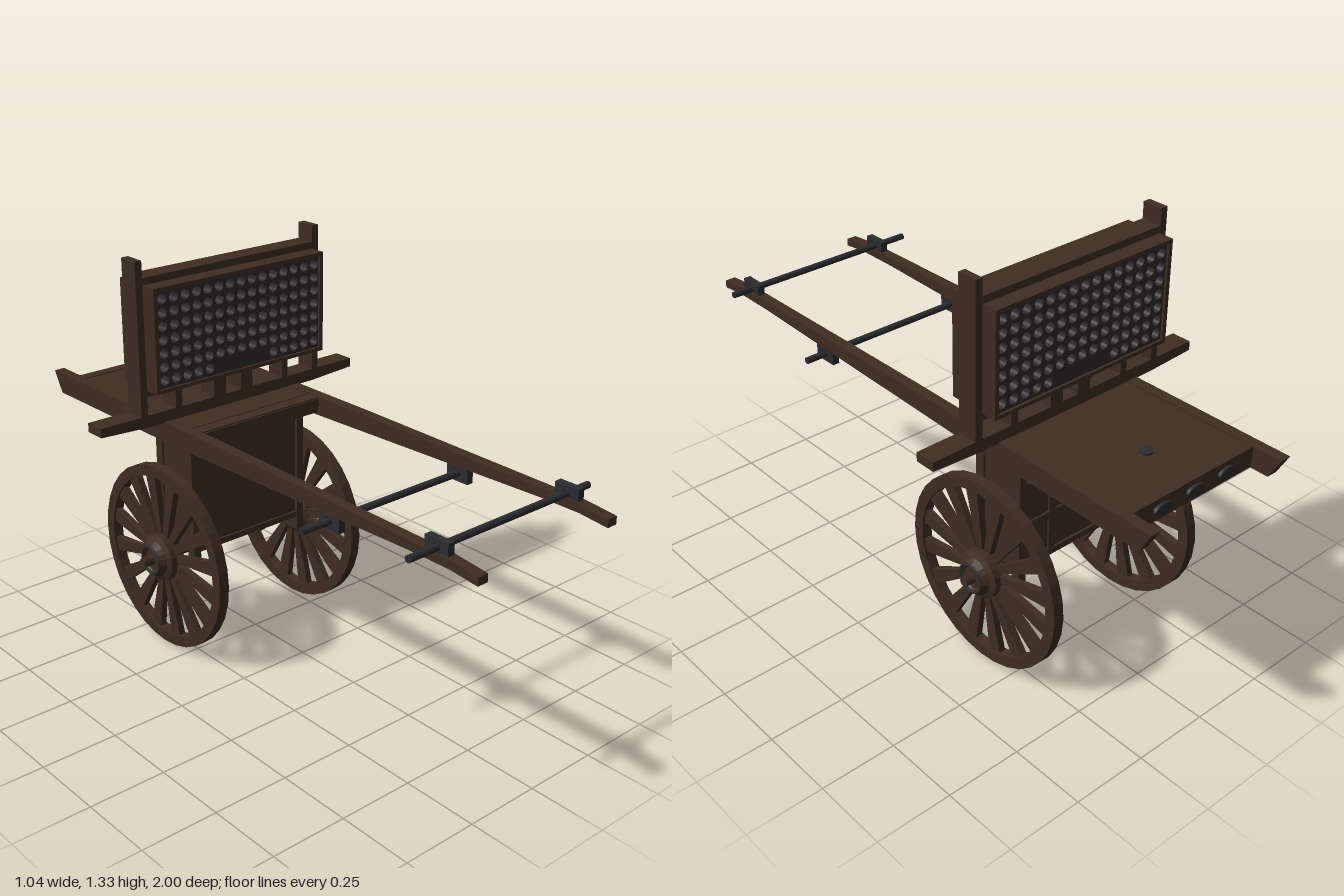
import * as THREE from 'three';

const material = (name, color) => {
  const m = new THREE.MeshStandardMaterial({ color });
  m.name = name;
  return m;
};

export function createModel() {
  const wood = material('dark wood', 0x3f2d22);
  const bore = material('blackened tube block', 0x302a2e);
  const iron = material('iron', 0x2b2c2f);
  const root = new THREE.Group();
  root.name = 'launcherCart';

  const add = (name, geo, mat = wood, parent = root) => {
    const mesh = new THREE.Mesh(geo, mat);
    mesh.name = name;
    parent.add(mesh);
    return mesh;
  };
  // Box given by its limits on each axis
  const box = (name, x0, x1, y0, y1, z0, z1, mat = wood, parent = root) => {
    const m = add(name, new THREE.BoxGeometry(x1 - x0, y1 - y0, z1 - z0), mat, parent);
    m.position.set((x0 + x1) / 2, (y0 + y1) / 2, (z0 + z1) / 2);
    return m;
  };
  const poly = pts => new THREE.Shape(pts.map(p => new THREE.Vector2(...p)));
  const rect = (w, h, Type = THREE.Shape) => {
    const s = new Type();
    s.moveTo(-w / 2, -h / 2).lineTo(w / 2, -h / 2).lineTo(w / 2, h / 2).lineTo(-w / 2, h / 2).closePath();
    return s;
  };
  // Extrusion centred on its own depth
  const slab = (shape, depth, curveSegments = 6) =>
    new THREE.ExtrudeGeometry(shape, { depth, bevelEnabled: false, curveSegments }).translate(0, 0, -depth / 2);
  const rod = (name, r, x0, x1, y, z, mat, parent = root, sides = 12) => {
    const m = add(name, new THREE.CylinderGeometry(r, r, x1 - x0, sides).rotateZ(Math.PI / 2), mat, parent);
    m.position.set((x0 + x1) / 2, y, z);
    return m;
  };
  const AXLE_Y = 0.317, AXLE_Z = -0.368;

  // Long tapered shafts, profile in z and y
  const shaftShape = poly([[1, 0.747], [0.9, 0.757], [0.75, 0.757], [-0.3, 0.727],
    [-0.96, 0.725], [-1, 0.797], [0, 0.795], [0.88, 0.785], [1, 0.773]]);
  for (const s of [-1, 1]) {
    const shaft = add(s > 0 ? 'leftShaft' : 'rightShaft', slab(shaftShape, 0.037).rotateY(-Math.PI / 2));
    shaft.position.x = s * 0.2615;
  }

  // Pull bars and their brackets
  for (const [y, z] of [[0.797, 0.845], [0.722, 0.428]]) {
    rod('pullBar', 0.011, -0.377, 0.345, y, z, iron);
    for (const s of [-1, 1]) {
      const shape = rect(0.085, 0.05);
      shape.holes.push(new THREE.Path().absarc(0, 0, 0.014, 0, Math.PI * 2, true));
      const b = add('barBracket', slab(shape, 0.024).rotateY(Math.PI / 2), iron);
      b.position.set(s * 0.2615, y, z);
    }
  }

  // Rear deck with raised panel, peg and end fittings
  box('deck', -0.245, 0.245, 0.765, 0.788, -0.87, -0.2);
  box('deckPanel', -0.24, 0.24, 0.785, 0.794, -0.86, -0.25);
  box('deckEndBeam', -0.245, 0.245, 0.728, 0.796, -0.9, -0.862);
  box('deckFrontBeam', -0.245, 0.245, 0.74, 0.792, -0.25, -0.205);
  const peg = add('deckPeg', new THREE.CylinderGeometry(0.021, 0.021, 0.012, 12), iron);
  peg.position.set(0, 0.794, -0.72);
  for (const x of [-0.13, 0, 0.13]) {
    const f = add('endFitting', new THREE.CylinderGeometry(0.018, 0.018, 0.012, 12).rotateX(Math.PI / 2), iron);
    f.scale.x = 1.9;
    f.position.set(x, 0.762, -0.904);
  }

  // Body chest: corner posts, rails and inset panels
  for (const s of [-1, 1]) {
    for (const z of [-0.447, -0.287]) {
      box('bodyPost', s * 0.222 - 0.014, s * 0.222 + 0.014, 0.29, 0.775, z - 0.016, z + 0.016);
    }
    box('bodySidePanel', s * 0.222 - 0.006, s * 0.222 + 0.006, 0.345, 0.775, -0.44, -0.295);
    for (const y of [0.36, 0.755]) {
      box('bodySideRail', s * 0.222 - 0.012, s * 0.222 + 0.012, y - 0.018, y + 0.018, -0.44, -0.295);
    }
  }
  for (const z of [-0.447, -0.287]) {
    box('bodyPanel', -0.21, 0.21, 0.345, 0.77, z - 0.006, z + 0.006);
    box('bodyTopRail', -0.21, 0.21, 0.76, 0.785, z - 0.014, z + 0.014);
    box('bodyBottomRail', -0.21, 0.21, 0.341, 0.362, z - 0.014, z + 0.014);
  }
  box('bodyFloor', -0.21, 0.21, 0.341, 0.355, -0.44, -0.295);
  for (const y of [0.49, 0.63]) box('bodyBackRail', -0.21, 0.21, y - 0.012, y + 0.012, -0.46, -0.447);
  for (const x of [-0.1, 0.1]) box('bodyBackStile', x - 0.012, x + 0.012, 0.355, 0.765, -0.459, -0.447);

  // Axle
  rod('axle', 0.016, -0.375, 0.37, AXLE_Y, AXLE_Z, wood);

  // Spoked wheels, built facing +z and turned sideways
  const rimShape = new THREE.Shape().absarc(0, 0, 0.316, 0, Math.PI * 2, false);
  rimShape.holes.push(new THREE.Path().absarc(0, 0, 0.279, 0, Math.PI * 2, true));
  const spokeShape = poly([[-0.01, 0.05], [0.01, 0.05], [0.025, 0.284], [-0.025, 0.284]]);
  const hubProfile = [[0.001, -0.03], [0.06, -0.03], [0.08, -0.012], [0.08, 0.032], [0.062, 0.04],
    [0.052, 0.06], [0.04, 0.06], [0.036, 0.054], [0.001, 0.054]].map(p => new THREE.Vector2(...p));
  for (const s of [-1, 1]) {
    const wheel = new THREE.Group();
    wheel.name = s > 0 ? 'leftWheel' : 'rightWheel';
    add('rim', slab(rimShape, 0.036, 16), wood, wheel);
    for (let i = 0; i < 16; i++) {
      const spoke = add('spoke', slab(spokeShape, 0.022), wood, wheel);
      spoke.rotation.z = (i + 0.5) * Math.PI / 8;
    }
    const hubGeo = new THREE.LatheGeometry(hubProfile, 20).rotateX(Math.PI / 2).toNonIndexed();
    hubGeo.computeVertexNormals();
    add('hub', hubGeo, wood, wheel);
    const ring = add('hubRing', new THREE.TorusGeometry(0.047, 0.005, 6, 20), iron, wheel);
    ring.position.z = 0.06;
    wheel.position.set(s * 0.282, AXLE_Y, AXLE_Z);
    wheel.rotation.y = s * Math.PI / 2;
    root.add(wheel);
  }

  // Crossbeam with tapered ends, and short legs under the launcher
  const beam = add('crossbeam', slab(poly([[-0.518, 0.802], [-0.34, 0.792], [0.34, 0.792],
    [0.518, 0.802], [0.518, 0.832], [-0.518, 0.832]]), 0.07));
  beam.position.z = -0.382;
  for (const [x, w] of [[-0.22, 0.025], [-0.055, 0.048], [0.055, 0.048], [0.22, 0.025]]) {
    box('launcherLeg', x - w / 2, x + w / 2, 0.83, 0.9, -0.417, -0.347);
  }
  box('launcherBottomRail', -0.34, 0.34, 0.893, 0.916, -0.417, -0.347);
  box('launcherTopRail', -0.34, 0.34, 1.25, 1.276, -0.417, -0.347);
  for (const s of [-1, 1]) {
    box('launcherPost', s * 0.353 - 0.0125, s * 0.353 + 0.0125, 0.8, 1.33, -0.417, -0.347);
  }

  // Launcher case: open frame around a block of tubes
  const frameShape = rect(0.68, 0.338);
  frameShape.holes.push(rect(0.652, 0.314, THREE.Path));
  const frame = add('launcherFrame', slab(frameShape, 0.177));
  frame.position.set(0, 1.084, -0.38);

  const tubeShape = rect(0.654, 0.316);
  for (let row = 0; row < 7; row++) {
    for (let col = 0; col < 15; col++) {
      if (row === 0 && col > 4 && col < 10) continue;
      tubeShape.holes.push(new THREE.Path().absarc((col - 7) * 0.0437 + 0.002,
        (row - 3) * 0.0436, 0.0168, 0, Math.PI * 2, true));
    }
  }
  const tubes = add('tubeBlock', slab(tubeShape, 0.16), bore);
  tubes.position.set(0, 1.084, -0.38);

  return root;
}
